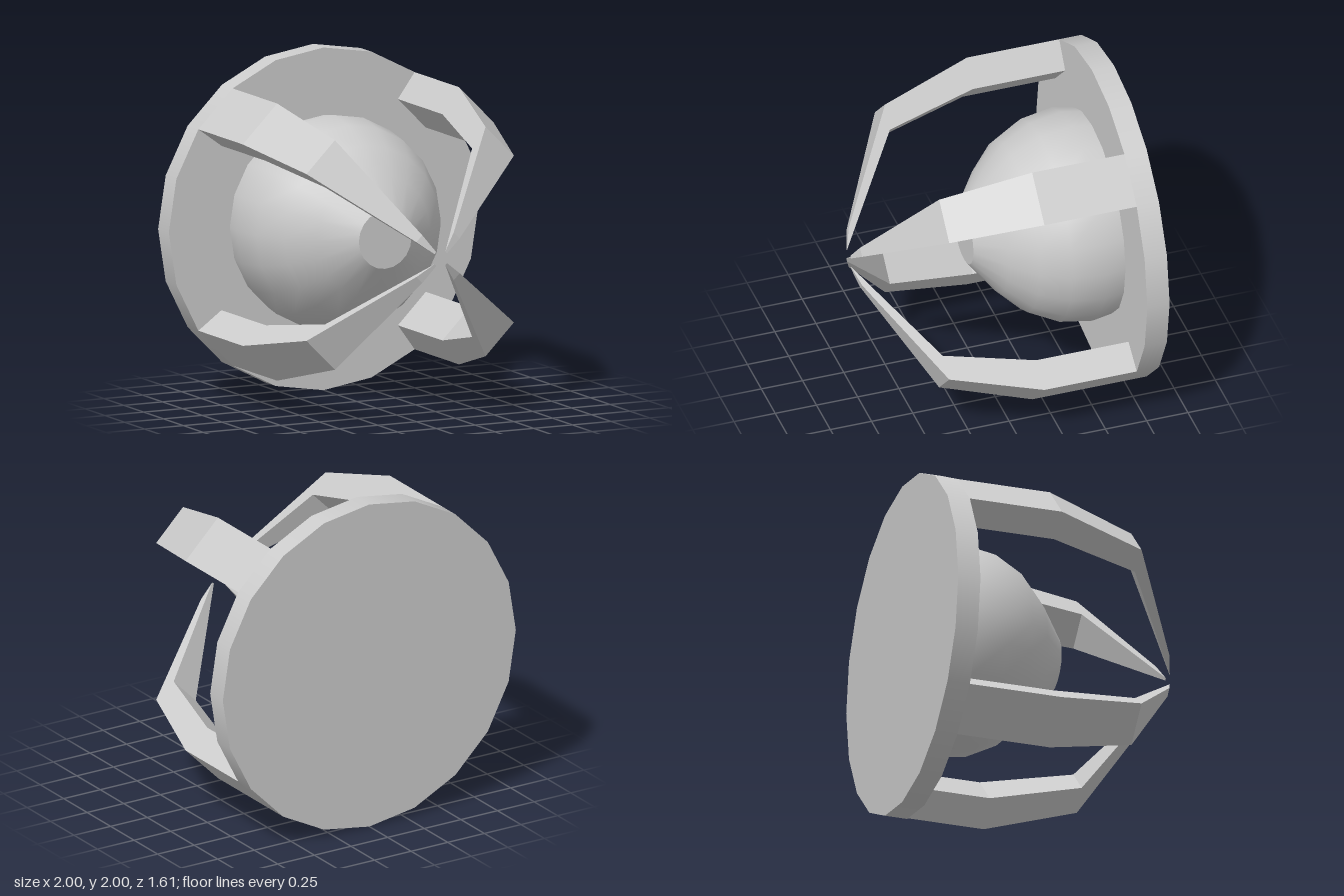
import * as THREE from 'three';

const SIDES = 20;
const material = new THREE.MeshStandardMaterial({ color: 0xcccccc });

// One claw: a wedge between two radial planes, lofted forward along z
function clawGeometry() {
  // [z, inner radius, outer radius]
  const sections = [
    [-0.67, 0.816, 1],
    [-0.11, 0.816, 1],
    [0.42, 0.68, 0.828],
    [0.77, 0.107, 0.173],
    [0.805, 0.05, 0.05],
  ];
  const a = Math.PI / 5, b = Math.PI * 0.3;
  const rings = sections.map(([z, ri, ro]) =>
    [[ro, a], [ro, b], [ri, b], [ri, a]].map(([r, t]) => [r * Math.cos(t), r * Math.sin(t), z]));
  const positions = [];
  const quad = (p, q, r, s) => positions.push(...p, ...q, ...r, ...p, ...r, ...s);
  for (let i = 0; i < rings.length - 1; i++) {
    for (let k = 0; k < 4; k++) {
      const n = (k + 1) % 4;
      quad(rings[i][k], rings[i][n], rings[i + 1][n], rings[i + 1][k]);
    }
  }
  // close the foot of the claw
  const [p, q, r, s] = rings[0];
  quad(s, r, q, p);
  const geometry = new THREE.BufferGeometry();
  geometry.setAttribute('position', new THREE.Float32BufferAttribute(positions, 3));
  geometry.computeVertexNormals();
  return geometry;
}

export function createModel() {
  const model = new THREE.Group();
  model.name = 'clawMount';
  const add = (name, geometry) => {
    const mesh = new THREE.Mesh(geometry, material);
    mesh.name = name;
    mesh.position.y = 1;
    model.add(mesh);
    return mesh;
  };

  // Round back plate
  const plate = new THREE.CylinderGeometry(1, 1, 0.135, SIDES);
  plate.rotateX(Math.PI / 2).translate(0, 0, -0.7375);
  add('backPlate', plate);

  // Ball half sunk in the plate, with its front cut flat
  const profile = [];
  for (let i = -1; i <= 3; i++) {
    const t = i * Math.PI / 10;
    profile.push(new THREE.Vector2(0.625 * Math.cos(t), 0.625 * Math.sin(t) - 0.55));
  }
  profile.push(new THREE.Vector2(0.17, 0.105));
  add('ball', new THREE.LatheGeometry(profile, SIDES).rotateX(Math.PI / 2));
  add('ballFrontCap', new THREE.CircleGeometry(0.17, SIDES).translate(0, 0, 0.105));

  // Four claws closing in front of the ball
  const claw = clawGeometry();
  for (let i = 0; i < 4; i++) {
    add('claw' + (i + 1), claw).rotation.z = i * Math.PI / 2;
  }
  return model;
}
